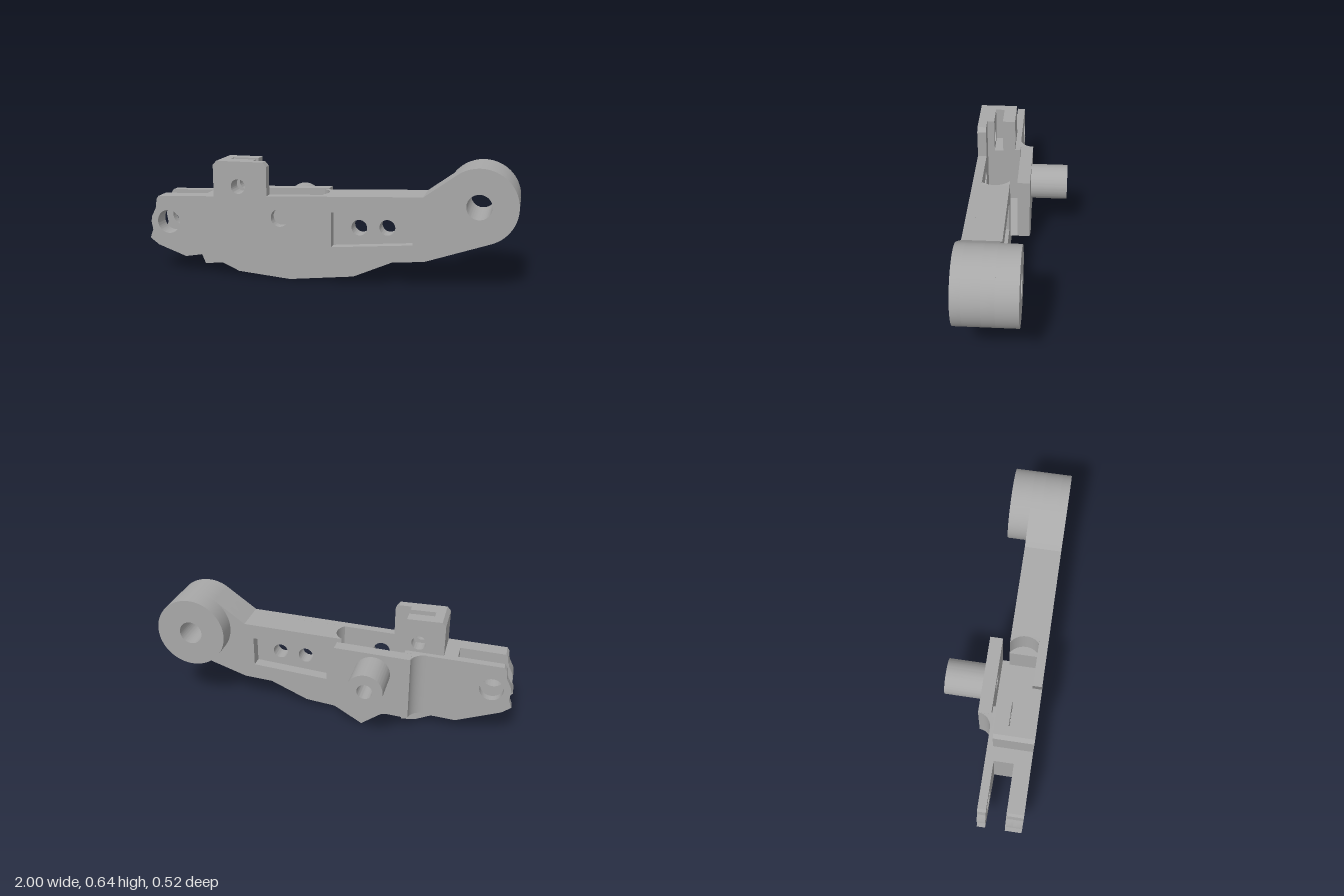
import * as THREE from 'three';
import { toCreasedNormals } from 'three/addons/utils/BufferGeometryUtils.js';

const steel = new THREE.MeshStandardMaterial({ color: 0xa8a8a8 });
steel.name = 'plain grey metal';

const circle = (x, y, r) => new THREE.Path().absarc(x, y, r, 0, Math.PI * 2, true);
const polygon = (pts, Type = THREE.Shape) => new Type(pts.map(([x, y]) => new THREE.Vector2(x, y)));
const arc = (cx, cy, r, a0, a1, n) => Array.from({ length: n + 1 }, (_, i) => {
  const a = THREE.MathUtils.degToRad(a0 + (a1 - a0) * i / n);
  return [cx + r * Math.cos(a), cy + r * Math.sin(a)];
});

export function createModel() {
  const group = new THREE.Group();

  const extrude = (name, shape, holes, depth) => {
    shape.holes.push(...holes);
    const geo = new THREE.ExtrudeGeometry(shape, { depth, bevelEnabled: false, curveSegments: 40 });
    const mesh = new THREE.Mesh(toCreasedNormals(geo, 0.3), steel);
    mesh.name = name;
    group.add(mesh);
    return mesh;
  };
  // Side profile (x, y) running from z0 to z1
  const slab = (name, pts, holes, z0, z1) => {
    extrude(name, polygon(pts), holes, z1 - z0).position.z = z0;
  };
  // Plan profile (x, z) running from y0 to y1
  const pillar = (name, pts, y0, y1) => {
    const mesh = extrude(name, polygon(pts), [], y1 - y0);
    mesh.rotation.x = Math.PI / 2;
    mesh.position.y = y1;
  };

  // Shared holes
  const forkHole = () => circle(-0.885, 0.285, 0.065);
  const tabHole = () => circle(-0.475, 0.5, 0.04);
  const pivotHole = (r = 0.042) => circle(-0.245, 0.34, r);
  const eyeHole = () => circle(0.803, 0.452, 0.065);
  const pocket = () => polygon([[0.04, 0.198], [0.04, 0.385], [0.47, 0.405], [0.47, 0.235]], THREE.Path);

  // Shared stretches of the outline, anticlockwise seen from the front
  const forkEnd = [[-0.615, 0.44], [-0.94, 0.427], [-0.953, 0.41], [-0.96, 0.36], [-0.985, 0.31],
    [-0.99, 0.28], [-0.982, 0.235], [-1, 0.187], [-0.95, 0.15]];
  const frontBelly = [[-0.79, 0.093], [-0.695, 0.11], [-0.675, 0.062], [-0.57, 0.07], [-0.48, 0.03]];
  const rearBelly = [[-0.705, 0.06], [-0.57, 0.07], [-0.48, 0.03]];
  const rightArm = [[-0.19, 0.005], [0.16, 0.045], [0.37, 0.138], [0.53, 0.15],
    ...arc(0.803, 0.452, 0.197, -69, 124, 40), [0.52, 0.49]];
  const tabLeft = [[-0.595, 0.635], [-0.615, 0.612]];

  // Full front wall
  slab('frontWall', [...forkEnd, ...frontBelly, ...rightArm,
    [-0.315, 0.455], [-0.315, 0.612], [-0.335, 0.635], ...tabLeft],
  [forkHole(), tabHole(), pivotHole(0.048), eyeHole(), pocket()], 0.21, 0.26);

  // Fork tines and the block at their root
  const blockEnd = [[-0.405, 0.023]];
  const tabRight = [[-0.405, 0.635]];
  slab('frontTine', [...forkEnd, ...frontBelly, ...blockEnd, ...tabRight, ...tabLeft],
    [forkHole(), tabHole()], 0.17, 0.21);
  slab('rearTine', [...forkEnd, ...rearBelly, ...blockEnd, [-0.405, 0.447]], [forkHole()], 0.02, 0.065);
  const root = [[-0.615, 0.44], [-0.69, 0.437], [-0.69, 0.063], [-0.57, 0.07], [-0.48, 0.03], ...blockEnd];
  slab('forkRootSlotted', [...root, [-0.405, 0.44], [-0.545, 0.44], [-0.545, 0.635], ...tabLeft],
    [], 0.12, 0.17);
  slab('forkRootRear', [...root, ...tabRight, ...tabLeft], [tabHole()], 0.05, 0.12);

  // Right arm with the floor of the open chamber
  const arm = [[-0.405, 0.1], ...blockEnd, ...rightArm, [0, 0.468], [0, 0.3], [-0.05, 0.3], [-0.05, 0.1]];
  slab('armWeb', arm, [eyeHole(), circle(0.18, 0.3, 0.042), circle(0.33, 0.308, 0.042)], 0.12, 0.21);
  slab('armRear', arm, [eyeHole(), pocket()], 0.055, 0.12);

  // Corners beside the rounded scoop in the chamber
  pillar('scoopCornerRear', [[0, 0.055], [0, 0.14], ...arc(-0.1, 0.14, 0.1, -5, -58, 8)], 0.3, 0.468);
  pillar('scoopCornerFront', [[0, 0.14], [0, 0.21], ...arc(-0.1, 0.14, 0.1, 44, 5, 8)], 0.3, 0.468);

  // Eye at the right end, reaching further back
  const eye = new THREE.Shape().absarc(0.803, 0.452, 0.197, 0, Math.PI * 2, false);
  extrude('eyeBoss', eye, [eyeHole()], 0.11).position.z = -0.055;

  // Rear plate, its foot and the blended left edge
  const foot = [[-0.31, 0.09], [-0.19, 0.005], [-0.03, 0.1]];
  slab('rearPlate', [[-0.45, 0.08], ...foot, [-0.03, 0.466], [-0.45, 0.447]], [pivotHole()], -0.055, 0.015);
  slab('rearFoot', [[-0.405, 0.1], [-0.405, 0.083], ...foot], [], 0.015, 0.055);
  pillar('plateFillet', [[-0.44, 0.03], [-0.52, 0.03], ...arc(-0.525, -0.055, 0.075, 90, 0, 10), [-0.44, -0.055]],
    0.08, 0.445);

  // Hollow pin
  const pin = new THREE.Shape().absarc(-0.245, 0.34, 0.098, 0, Math.PI * 2, false);
  extrude('pin', pin, [pivotHole()], 0.205).position.z = -0.26;

  return group;
}
